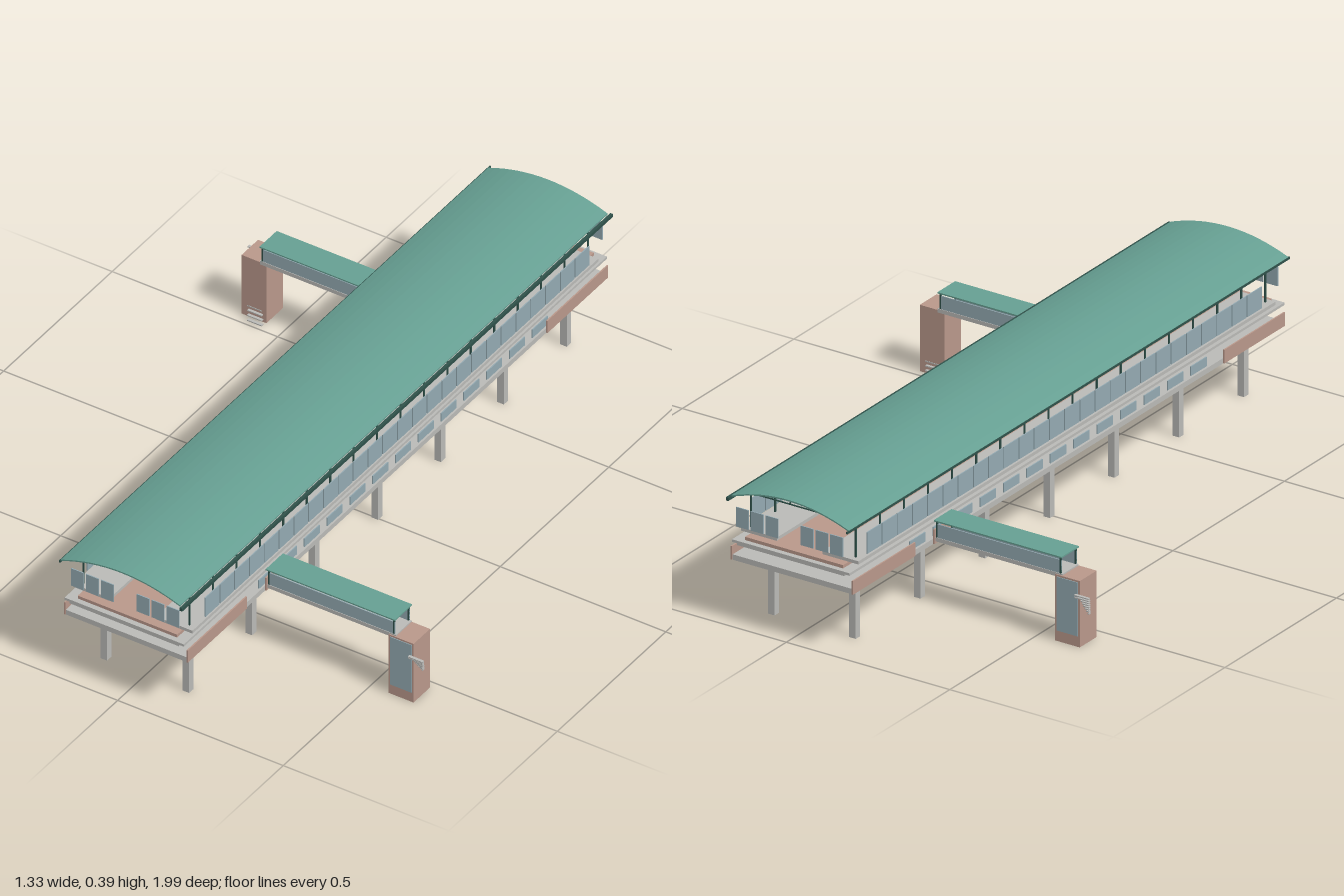
import * as THREE from 'three';

const material = (name, color) => Object.assign(new THREE.MeshStandardMaterial({ color }), { name });
const GREEN = material('roof green', 0x669f92);
const DARK = material('dark green metal', 0x2f514a);
const GLASS = material('pale blue glass', 0x93a9b1);
const BROWN = material('terracotta cladding', 0xb8978a);
const GREY = material('concrete grey', 0xb9b9b6);

const CZ = -0.005; // middle of the station along z

// Box given by its limits on each axis
function box(parent, name, mat, [x0, x1], [y0, y1], [z0, z1]) {
  const mesh = new THREE.Mesh(new THREE.BoxGeometry(x1 - x0, y1 - y0, z1 - z0), mat);
  mesh.position.set((x0 + x1) / 2, (y0 + y1) / 2, (z0 + z1) / 2);
  mesh.name = name;
  parent.add(mesh);
  return mesh;
}

// Thin bar between two points
function bar(parent, name, mat, a, b, t) {
  const p = new THREE.Vector3(...a), q = new THREE.Vector3(...b);
  const mesh = new THREE.Mesh(new THREE.BoxGeometry(t, t, p.distanceTo(q)), mat);
  mesh.position.copy(p).lerp(q, 0.5);
  mesh.lookAt(q);
  mesh.name = name;
  parent.add(mesh);
}

const group = (parent, name) => {
  const g = new THREE.Group();
  g.name = name;
  parent.add(g);
  return g;
};

const roofY = (x) => 0.393 - 1.08 * x * x;

// Arched sheet roof with gutters
function addRoof(parent) {
  const g = group(parent, 'roof');
  const upper = [], lower = [];
  for (let i = 0; i <= 16; i++) {
    const x = -0.185 + 0.36 * i / 16;
    upper.push(new THREE.Vector2(x, roofY(x)));
    lower.unshift(new THREE.Vector2(x, roofY(x) - 0.004));
  }
  const geo = new THREE.ExtrudeGeometry(new THREE.Shape([...upper, ...lower]), { depth: 1.97, bevelEnabled: false });
  const sheet = new THREE.Mesh(geo, GREEN);
  sheet.name = 'roofSheet';
  sheet.position.z = -0.99;
  g.add(sheet);
  box(g, 'leftGutter', DARK, [0.177, 0.185], [0.347, 0.356], [-1, 0.985]);
  box(g, 'rightGutter', DARK, [-0.187, -0.183], [0.35, 0.356], [-1, 0.985]);

  // Frames carrying the roof
  for (let i = 0; i < 18; i++) {
    const z = CZ + (i - 8.5) * 0.108;
    box(g, 'roofTie', DARK, [-0.16, 0.16], [0.343, 0.346], [z - 0.0015, z + 0.0015]);
    for (const s of [-1, 1]) {
      box(g, 'roofPost', DARK, [s * 0.16 - 0.002, s * 0.16 + 0.002], [0.25, 0.364], [z - 0.002, z + 0.002]);
      for (const x of [0.045, 0.1])
        bar(g, 'roofStrut', DARK, [s * (x - 0.005), 0.345, z], [s * x, roofY(x) - 0.004, z], 0.0025);
    }
  }
}

// Windscreens along the platforms and across the ends
function addScreens(parent) {
  const g = group(parent, 'windscreens');
  for (const s of [-1, 1]) {
    for (let i = 0; i < 26; i++) {
      const z = -0.9 + i * 0.0682;
      box(g, 'sideScreen', GLASS, [s * 0.178 - 0.0015, s * 0.178 + 0.0015], [0.255, 0.315], [z, z + 0.064]);
    }
    for (const z of [0.965, -0.985])
      for (let i = 0; i < 3; i++) {
        const x = s * (0.054 + i * 0.045);
        box(g, 'endScreen', GLASS, [x - 0.019, x + 0.019], [0.275, 0.329], [z - 0.0015, z + 0.0015]);
      }
  }
}

// Track deck with side platforms
function addPlatforms(parent) {
  const g = group(parent, 'platformLevel');
  box(g, 'trackDeck', GREY, [-0.165, 0.165], [0.22, 0.232], [-0.98, 0.97]);
  box(g, 'trackBed', BROWN, [-0.15, 0.15], [0.232, 0.241], [-0.965, 0.955]);
  for (const s of [-1, 1]) {
    const xs = s > 0 ? [0.07, 0.18] : [-0.18, -0.07];
    box(g, 'platform', GREY, xs, [0.241, 0.25], [-0.94, 0.93]);
    const xe = s > 0 ? [0.165, 0.18] : [-0.18, -0.165];
    box(g, 'deckEdge', GREY, xe, [0.225, 0.232], [-0.98, 0.97]);
  }
}

// Concourse floor, its windows and end cladding
function addConcourse(parent) {
  const g = group(parent, 'concourse');
  box(g, 'concourseFloor', GREY, [-0.183, 0.183], [0.171, 0.186], [-0.972, 0.96]);
  for (const s of [-1, 1]) {
    for (let i = 0; i < 13; i++) {
      const z = 0.587 - i * 0.105;
      box(g, 'concourseWindow', GLASS, [s * 0.178 - 0.0015, s * 0.178 + 0.0015], [0.189, 0.215], [z - 0.035, z + 0.035]);
    }
    for (const zs of [[0.69, 0.962], [-0.975, -0.695]])
      box(g, 'endCladding', BROWN, [s * 0.185 - 0.002, s * 0.185 + 0.002], [0.172, 0.21], zs);
  }
}

// Pairs of columns joined by cross beams
function addColumns(parent) {
  const g = group(parent, 'supports');
  for (let i = -3; i <= 3; i++) {
    const z = CZ + i * 0.29;
    box(g, 'crossBeam', GREY, [-0.163, 0.163], [0.161, 0.171], [z - 0.01, z + 0.01]);
    for (const x of [-0.124, 0.124])
      box(g, 'column', GREY, [x - 0.01, x + 0.01], [0, 0.161], [z - 0.01, z + 0.01]);
  }
}

// Covered footbridge, lift tower and slanting stair
function addAccess(parent, name) {
  const g = group(parent, name);
  box(g, 'bridgeFloor', GREY, [0.183, 0.575], [0.178, 0.189], [0.522, 0.595]);
  box(g, 'bridgeRoof', GREEN, [0.183, 0.573], [0.233, 0.237], [0.518, 0.597]);
  for (const z of [0.525, 0.592]) {
    box(g, 'bridgeGlass', GLASS, [0.188, 0.57], [0.189, 0.226], [z - 0.0015, z + 0.0015]);
    for (const x of [0.19, 0.568])
      box(g, 'bridgePost', DARK, [x - 0.002, x + 0.002], [0.189, 0.233], [z - 0.002, z + 0.002]);
  }
  box(g, 'bridgePortal', BROWN, [0.183, 0.187], [0.172, 0.212], [0.515, 0.6]);
  box(g, 'tower', BROWN, [0.555, 0.63], [0, 0.185], [0.522, 0.598]);
  box(g, 'towerGlass', GLASS, [0.56, 0.625], [0.03, 0.18], [0.598, 0.6]);
  const steps = 16;
  for (let i = 0; i < steps; i++) {
    const t = i / (steps - 1), x = 0.578 + 0.064 * t, y = 0.004 + 0.143 * t, z = 0.505 + 0.1 * t;
    box(g, 'stairTread', GREY, [x - 0.022, x + 0.022], [y - 0.0015, y + 0.0015], [z - 0.004, z + 0.004]);
  }
  return g;
}

export function createModel() {
  const model = new THREE.Group();
  model.name = 'elevatedStation';
  addRoof(model);
  addScreens(model);
  addPlatforms(model);
  addConcourse(model);
  addColumns(model);
  addAccess(model, 'leftAccess');
  const right = addAccess(model, 'rightAccess');
  right.rotation.y = Math.PI;
  right.position.z = -0.01;
  return model;
}
